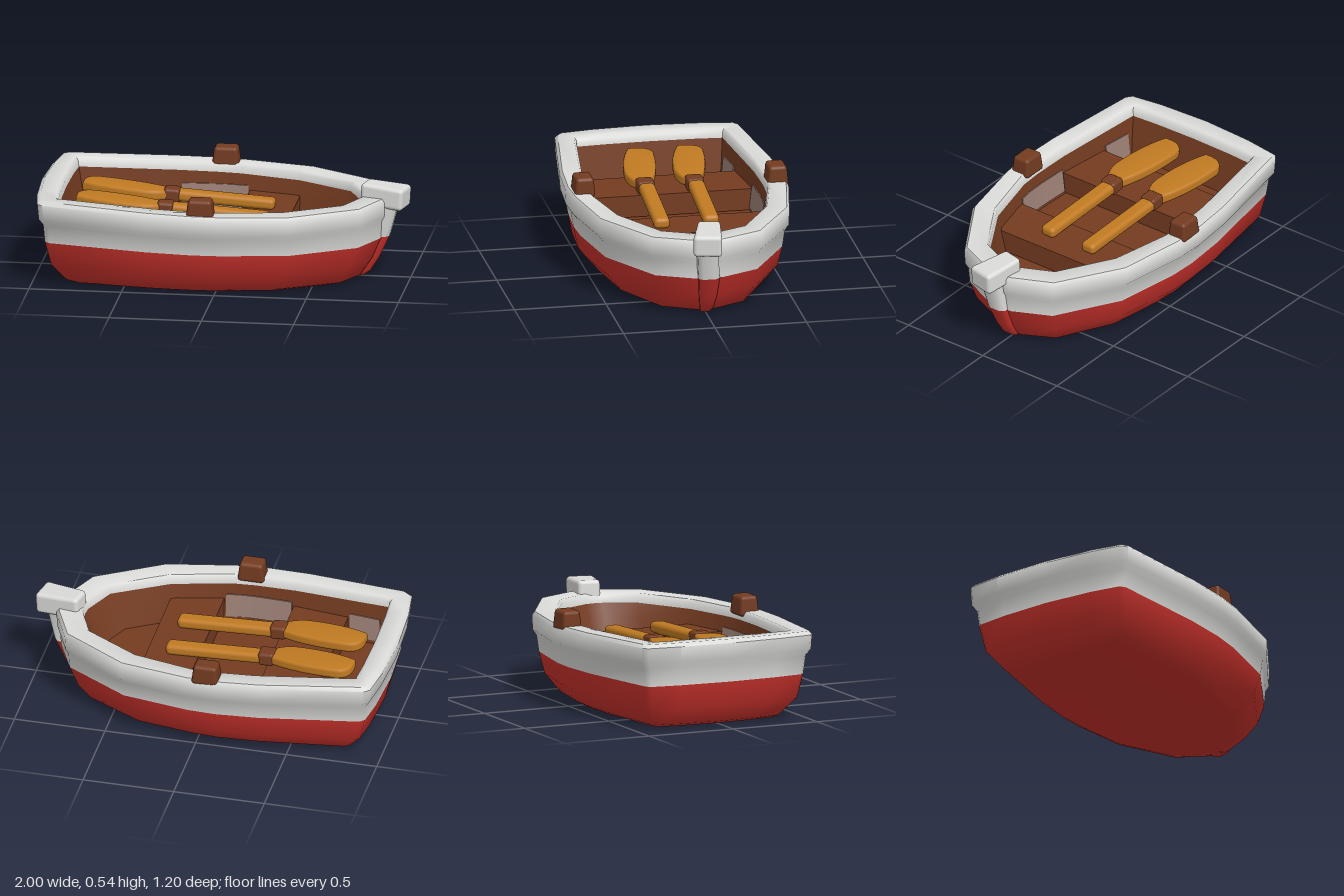
import * as THREE from 'three';
import { toCreasedNormals } from 'three/addons/utils/BufferGeometryUtils.js';
import { RoundedBoxGeometry } from 'three/addons/geometries/RoundedBoxGeometry.js';

const material = (name, color) => Object.assign(new THREE.MeshStandardMaterial({ color }), { name });

// Half outlines of the gunwale, stern to bow, as [x, z]
const OUTER = [[-1, 0], [-0.985, 0.3], [-0.96, 0.48], [-0.93, 0.505], [-0.38, 0.585], [-0.13, 0.6],
  [0.03, 0.59], [0.41, 0.52], [0.77, 0.3], [0.87, 0.08], [0.88, 0]];
const INNER = [[-0.87, 0], [-0.865, 0.25], [-0.855, 0.4], [-0.83, 0.405], [-0.32, 0.47], [-0.1, 0.48],
  [0.02, 0.475], [0.35, 0.4], [0.65, 0.225], [0.73, 0.05], [0.735, 0]];

// Rise of the gunwale towards the stern
const sheer = (x) => 0.037 * Math.pow(Math.max(0, (0.4 - x) / 1.4), 1.5);

// Full ring from a half outline, refitted to run from stern to bow and scaled in width
function ring(half, y, stern, bow, width, lift = 0) {
  const x0 = half[0][0], x1 = half[half.length - 1][0];
  const side = half.map(([x, z]) => {
    const px = stern + ((x - x0) / (x1 - x0)) * (bow - stern);
    return [px, y + lift * sheer(px), z * width];
  });
  const mirrored = side.slice(1, -1).reverse().map(([x, h, z]) => [x, h, -z]);
  return [...side, ...mirrored];
}

// Skin between consecutive rings of equal length
function loft(rings, crease = 0.9) {
  const n = rings[0].length, index = [];
  for (let i = 0; i < rings.length - 1; i++) {
    for (let j = 0; j < n; j++) {
      const a = i * n + j, b = i * n + (j + 1) % n;
      index.push(a, b, b + n, a, b + n, a + n);
    }
  }
  const g = new THREE.BufferGeometry();
  g.setAttribute('position', new THREE.Float32BufferAttribute(rings.flat(2), 3));
  g.setIndex(index);
  return toCreasedNormals(g, crease);
}

// Inner half width of the boat at x
function innerWidth(x) {
  const k = INNER.findIndex((p) => p[0] >= x);
  const [xa, za] = INNER[k - 1], [xb, zb] = INNER[k];
  return za + ((x - xa) / (xb - xa)) * (zb - za);
}

// Moves every vertex of a geometry by a rule
function reshape(geometry, rule) {
  const p = geometry.attributes.position, v = new THREE.Vector3();
  for (let i = 0; i < p.count; i++) {
    rule(v.fromBufferAttribute(p, i));
    p.setXYZ(i, v.x, v.y, v.z);
  }
  return geometry;
}

// Cross-section of the stem post
const stemRing = ([y, back, front, c, h]) => [[back, h], [front - 0.02, h], [front, h * 0.6],
  [front, -h * 0.6], [front - 0.02, -h], [back, -h]].map(([x, z]) => [x, y, c + z]);

export function createModel() {
  const boat = new THREE.Group();
  boat.name = 'rowingBoat';
  const grey = material('greyPaint', 0xdbdbd9);
  const red = material('redPaint', 0xca322c);
  const brown = material('darkWood', 0x753c21);
  const amber = material('oarWood', 0xc07a22);
  const worn = material('wornGreyWood', 0x9c8076);

  const add = (name, geometry, mat, parent = boat) => {
    const mesh = new THREE.Mesh(geometry, mat);
    mesh.name = name;
    parent.add(mesh);
    return mesh;
  };

  // Hull: red bottom, grey upper side with rim, brown inside with floor
  const waterline = ring(OUTER, 0.235, -0.96, 0.855, 0.93, 0.55);
  add('lowerHull', loft([
    ring(OUTER, 0.003, -0.8, 0.66, 0),
    ring(OUTER, 0.003, -0.8, 0.66, 0.69),
    ring(OUTER, 0.022, -0.85, 0.74, 0.745),
    ring(OUTER, 0.12, -0.925, 0.805, 0.89),
    waterline,
  ]), red);
  add('upperHull', loft([
    waterline,
    ring(OUTER, 0.325, -0.968, 0.86, 0.955, 0.8),
    ring(OUTER, 0.355, -0.99, 0.875, 0.995, 0.9),
    ring(OUTER, 0.435, -0.998, 0.88, 1, 1),
    ring(OUTER, 0.455, -0.978, 0.865, 0.975, 1),
    ring(INNER, 0.455, -0.885, 0.75, 1.025, 1),
    ring(INNER, 0.44, -0.87, 0.735, 1, 1),
    ring(INNER, 0.405, -0.865, 0.73, 0.99, 1),
  ]), grey);
  add('innerHull', loft([
    ring(INNER, 0.405, -0.865, 0.73, 0.99, 1),
    ring(INNER, 0.32, -0.845, 0.69, 0.97),
    ring(INNER, 0.2, -0.825, 0.64, 0.94),
    ring(INNER, 0.2, -0.825, 0.64, 0),
  ]), brown);

  // Stem post below the prow block
  const stemLow = [[0.01, 0.66, 0.745, 0, 0], [0.01, 0.66, 0.745, 0, 0.03], [0.04, 0.68, 0.785, 0, 0.036],
    [0.12, 0.72, 0.835, 0.002, 0.048], [0.24, 0.78, 0.89, 0.006, 0.057]];
  const stemHigh = [stemLow[4], [0.32, 0.8, 0.912, 0.014, 0.057], [0.43, 0.8, 0.94, 0.022, 0.058]];
  add('lowerStem', loft(stemLow.map(stemRing)), red);
  add('upperStem', loft(stemHigh.map(stemRing)), grey);

  // Prow block, narrower towards the boat
  const prow = add('prowBlock', reshape(new RoundedBoxGeometry(0.245, 0.12, 0.15, 3, 0.022), (v) => {
    v.z *= 0.92 + v.x * 1.0;
  }), grey);
  prow.position.set(0.863, 0.461, 0.01);
  prow.rotation.set(0, -0.22, -0.06);

  // Benches, fitted to the inner sides
  for (const [x0, x1] of [[-0.62, -0.31], [0.07, 0.35]]) {
    const g = new THREE.BoxGeometry(x1 - x0, 0.12, 2, 4, 1, 1).translate((x0 + x1) / 2, 0.265, 0);
    reshape(g, (v) => { v.z *= innerWidth(v.x) * 0.975; }).computeVertexNormals();
    add('bench', g, brown);
  }

  // Worn panels low on the inner sides, in the gaps between the benches
  for (const [x0, x1] of [[-0.8, -0.63], [-0.3, 0.06]]) {
    for (const side of [1, -1]) {
      const g = new THREE.BoxGeometry(x1 - x0, 0.13, 0.006, 4, 1, 1).translate((x0 + x1) / 2, 0.285, 0);
      reshape(g, (v) => {
        v.z += side * (innerWidth(v.x) * (0.94 + (v.y - 0.2) * 0.25) - 0.005);
      }).computeVertexNormals();
      add('wornPanel', g, worn);
    }
  }

  // Tapered oarlock blocks on both gunwales
  for (const z of [0.515, -0.54]) {
    const g = reshape(new RoundedBoxGeometry(0.15, 0.11, 0.115, 3, 0.02), (v) => {
      const s = 0.92 - v.y * 1.5;
      v.x *= s;
      v.z *= s;
    });
    add('oarlock', g, brown).position.set(-0.07, 0.49, z);
  }

  // Oars: bevelled blade, collar and shaft, sloping down towards the handle
  const blade = new THREE.Shape();
  blade.moveTo(-0.785, 0.125);
  blade.quadraticCurveTo(-0.795, 0.02, -0.72, 0.015);
  blade.quadraticCurveTo(-0.5, 0.03, -0.35, 0.095);
  blade.lineTo(-0.35, 0.17);
  blade.quadraticCurveTo(-0.4, 0.205, -0.47, 0.2);
  blade.quadraticCurveTo(-0.66, 0.185, -0.785, 0.125);
  const bladeGeometry = toCreasedNormals(new THREE.ExtrudeGeometry(blade, {
    depth: 0.02, bevelEnabled: true, bevelSize: 0.012, bevelThickness: 0.018, bevelSegments: 3, curveSegments: 6,
  }).rotateX(Math.PI / 2).translate(0.31, 0.01, 0), 0.9);
  for (const z of [0, -0.27]) {
    const oar = new THREE.Group();
    oar.name = 'oar';
    oar.position.set(-0.31, 0.378, z);
    oar.rotation.z = -0.055;
    add('oarBlade', bladeGeometry, amber, oar);
    const collar = add('oarCollar', new RoundedBoxGeometry(0.09, 0.075, 0.095, 3, 0.018), brown, oar);
    collar.position.z = 0.13;
    const shaft = add('oarShaft', new RoundedBoxGeometry(0.54, 0.062, 0.087, 3, 0.024), amber, oar);
    shaft.position.set(0.29, 0, 0.135);
    shaft.rotation.y = -0.03;
    boat.add(oar);
  }
  return boat;
}
